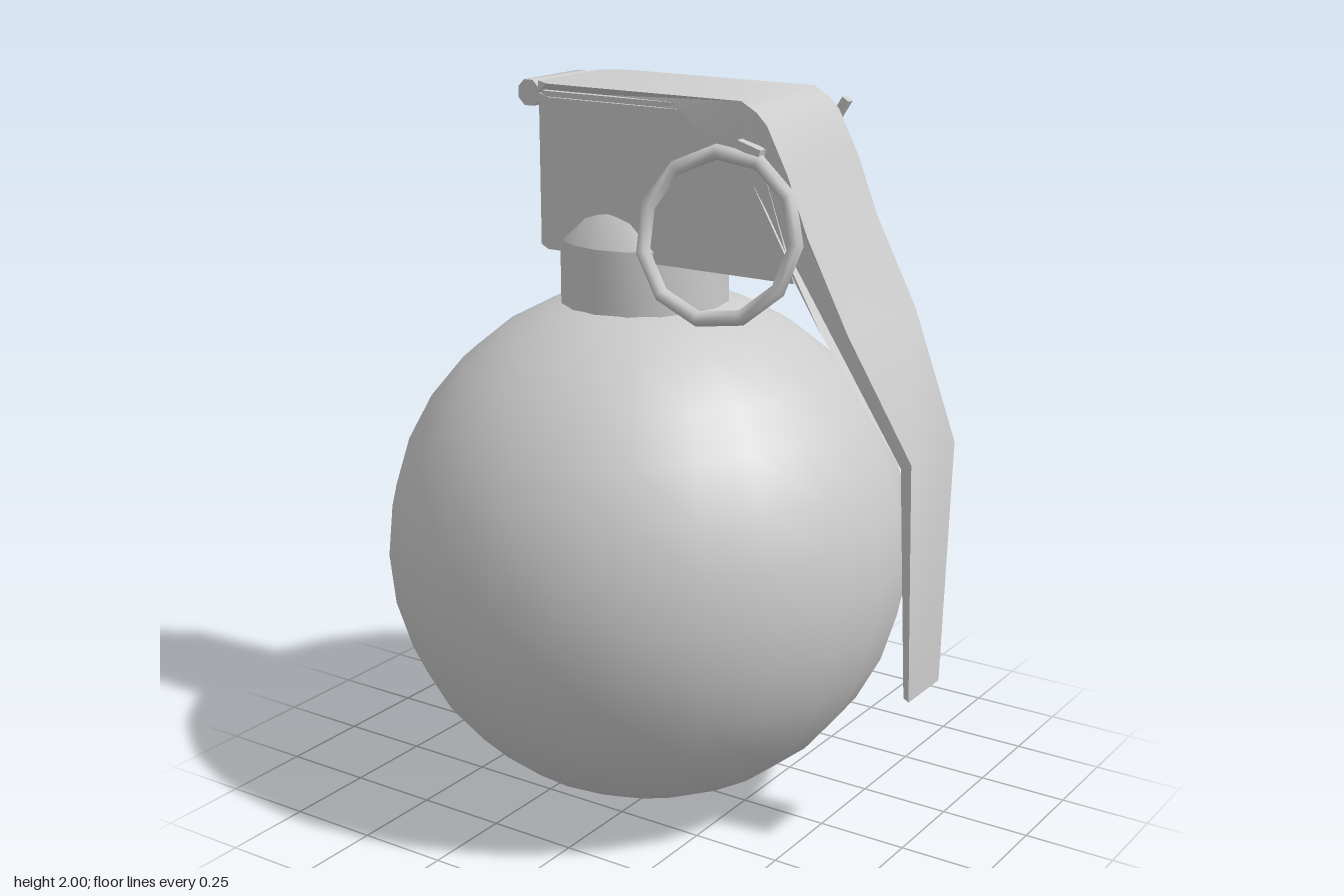
import * as THREE from 'three';
import { toCreasedNormals } from 'three/addons/utils/BufferGeometryUtils.js';

const grey = new THREE.MeshStandardMaterial({ color: 0xcccccc });

function add(group, name, geometry, position = [0, 0, 0]) {
  const mesh = new THREE.Mesh(geometry, grey);
  mesh.name = name;
  mesh.position.set(...position);
  group.add(mesh);
  return mesh;
}

// Extrude an outline of [x, y] points, centred on z
function slab(points, width) {
  const shape = new THREE.Shape(points.map(([x, y]) => new THREE.Vector2(x, y)));
  const g = new THREE.ExtrudeGeometry(shape, { depth: width, bevelEnabled: false });
  return g.translate(0, 0, -width / 2);
}

// Half width of the lever at a point: narrows at the hinge end and down the handle
function leverHalfWidth(x, y) {
  if (x < -0.3) return 0.14;
  if (y > 1.45) return 0.18;
  if (y > 1.1) return THREE.MathUtils.mapLinear(y, 1.1, 1.45, 0.115, 0.18);
  return THREE.MathUtils.mapLinear(y, 0.475, 1.1, 0.086, 0.115);
}

function leverGeometry() {
  const g = slab([
    [-0.33, 2], [-0.33, 1.97], [-0.27, 1.965], [0.15, 1.965], [0.19, 1.92], [0.3, 1.89],
    [0.36, 1.8], [0.49, 1.56], [0.56, 1.45], [0.765, 1.115], [0.78, 0.485],
    [0.795, 0.475], [0.795, 1.13], [0.64, 1.45], [0.52, 1.68], [0.46, 1.83],
    [0.4, 1.945], [0.37, 1.975], [0.325, 2], [-0.27, 2],
  ], 2);
  const p = g.attributes.position;
  for (let i = 0; i < p.count; i++) {
    p.setZ(i, p.getZ(i) * leverHalfWidth(p.getX(i), p.getY(i)));
  }
  return toCreasedNormals(g, 0.6);
}

export function createModel() {
  const model = new THREE.Group();
  model.name = 'grenade';

  // Round body
  add(model, 'body', new THREE.SphereGeometry(0.727, 24, 16), [-0.073, 0.73, 0]);

  // Neck with a coned shoulder running up into the head
  const neck = [[0.23, 1.36], [0.23, 1.59], [0.18, 1.67], [0.1, 1.74]];
  const neckGeometry = new THREE.LatheGeometry(neck.map(([r, y]) => new THREE.Vector2(r, y)), 16);
  add(model, 'neck', toCreasedNormals(neckGeometry, 0.5), [-0.085, 0, 0]);

  // Fuze head: plan outline with chamfered corners, its lever end sloping in
  const plan = [[-0.335, -0.13], [-0.28, -0.174], [0.48, -0.174], [0.48, 0.174], [-0.28, 0.174], [-0.335, 0.13]];
  const head = slab(plan, 0.42).rotateX(-Math.PI / 2).translate(0, 1.77, 0);
  const p = head.attributes.position;
  for (let i = 0; i < p.count; i++) {
    if (p.getX(i) > 0.4 && p.getY(i) > 1.8) p.setX(i, 0.34);
  }
  head.computeVertexNormals();
  add(model, 'fuzeHead', head);

  // Lever: cover plate with side flanges and bent handle
  add(model, 'safetyLever', leverGeometry());

  // Hinge bracket and hinge pin
  add(model, 'hingeBracket', slab([
    [-0.36, 1.56], [-0.32, 1.56], [-0.32, 1.98], [-0.38, 1.95], [-0.38, 1.92], [-0.36, 1.83],
  ], 0.12));
  const hinge = new THREE.CylinderGeometry(0.037, 0.037, 0.245, 8).rotateY(Math.PI / 8).rotateX(Math.PI / 2);
  add(model, 'hingePin', toCreasedNormals(hinge, 0.9), [-0.375, 1.963, 0]);

  // Safety pin through the head, with its bent tail at the back and eye at the front
  const pin = new THREE.Group();
  pin.name = 'safetyPin';
  model.add(pin);
  const shaft = new THREE.CylinderGeometry(0.014, 0.014, 0.4, 8).rotateX(Math.PI / 2);
  add(pin, 'pinShaft', shaft, [0.355, 1.885, 0]);
  const tail = add(pin, 'pinTail', new THREE.BoxGeometry(0.022, 0.23, 0.022), [0.355, 1.873, -0.193]);
  tail.rotation.z = -0.56;
  const eye = add(pin, 'pinEye', new THREE.BoxGeometry(0.07, 0.022, 0.03), [0.36, 1.888, 0.19]);
  eye.rotation.z = -0.3;

  // Pull ring hanging from the eye
  const ring = add(model, 'pullRing', new THREE.TorusGeometry(0.21, 0.02, 6, 11), [0.305, 1.672, 0.25]);
  const facing = new THREE.Vector3(0.13, 0.23, 1).normalize();
  ring.quaternion.setFromUnitVectors(new THREE.Vector3(0, 0, 1), facing);

  return model;
}
